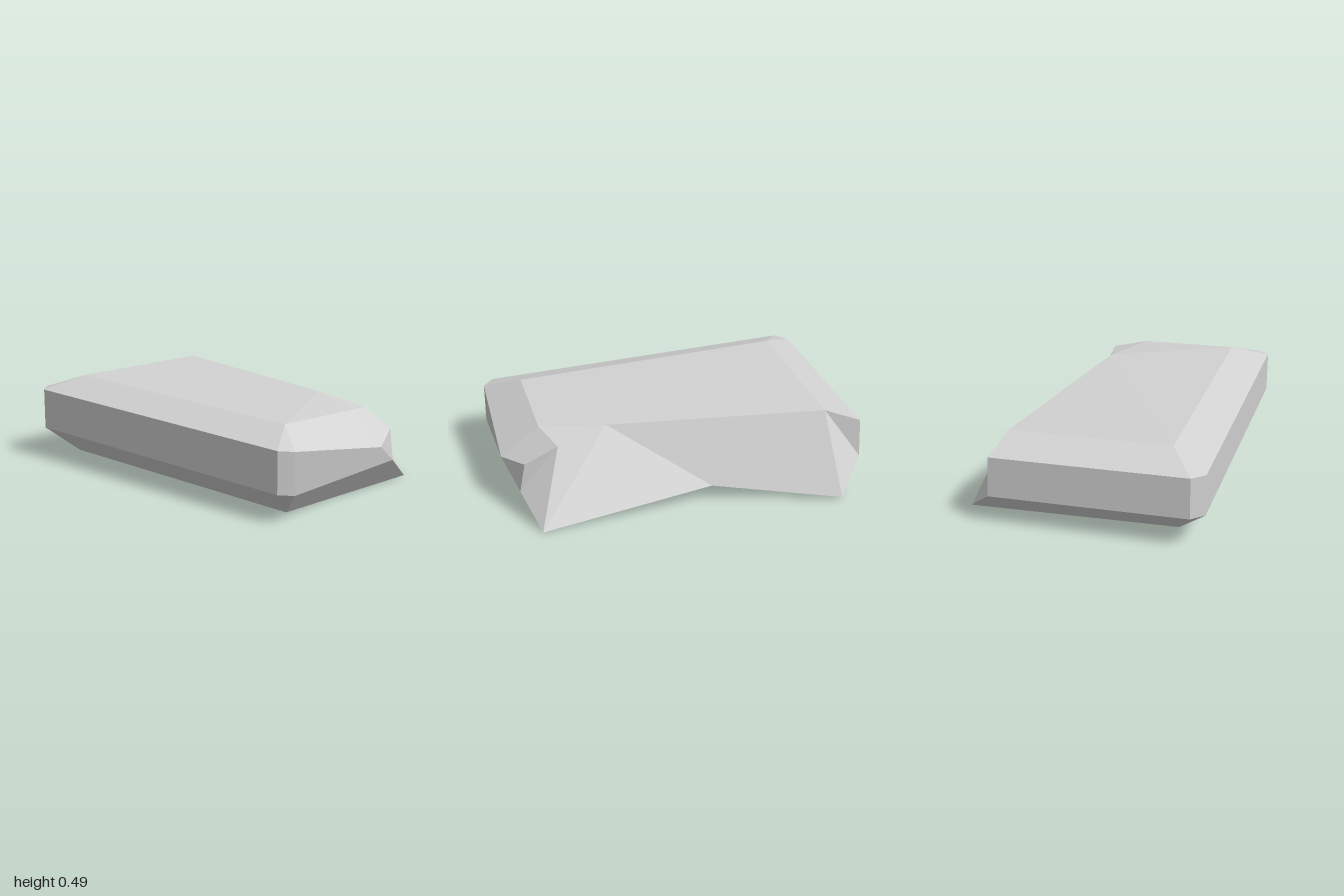
import * as THREE from 'three';

// Corners shared by several columns of the outline
const footFrontLeft = [-0.82, 0.03, 0.47], footFrontRight = [0.79, 0, 0.505];
const footBackRight = [0.88, 0, -0.45], footBackLeft = [-0.8, 0.01, -0.685];
const footNotch = [-0.11, 0.01, -0.25], backNotch = [-0.1, 0.095, -0.45];
const sideLow = [0.945, 0.15, -0.235], backLow = [-0.97, 0.165, -0.53];
const topFrontLeft = [-0.8, 0.485, 0.43], topFrontRight = [0.75, 0.46, 0.475];
const topBackRight = [0.73, 0.41, -0.265], topNotch = [0.44, 0.463, -0.215];
const topBackLeft = [-0.765, 0.465, -0.47];

// Four horizontal cross-sections, each running round from the front -x corner
const foot = [
  footFrontLeft, footFrontLeft, footFrontRight, footFrontRight, footBackRight, footBackRight, footBackRight,
  footBackRight, footBackRight, footNotch, footBackLeft, footBackLeft, footBackLeft,
];
const lowerBelt = [
  [-1, 0.18, 0.56], [-0.94, 0.18, 0.63], [0.875, 0.155, 0.685], [0.94, 0.15, 0.625], sideLow, sideLow, sideLow,
  footBackRight, footBackRight, backNotch, footBackLeft, backLow, backLow,
];
const upperBelt = [
  [-1, 0.41, 0.56], [-0.94, 0.41, 0.63], [0.875, 0.385, 0.685], [0.94, 0.38, 0.625], [1, 0.275, -0.04],
  [0.915, 0.32, -0.245], topBackRight,
  topBackRight, topNotch, topNotch, topBackLeft, topBackLeft, [-0.965, 0.39, -0.52],
];
const crown = [
  topFrontLeft, topFrontLeft, topFrontRight, topFrontRight, [0.785, 0.44, -0.07], topBackRight, topBackRight,
  topBackRight, topNotch, topNotch, topBackLeft, topBackLeft, topBackLeft,
];

// Facets with one normal each; corners that coincide are merged
function facets(polygons) {
  const positions = [], normals = [];
  for (const polygon of polygons) {
    const corners = polygon
      .filter((p, i) => p !== polygon[(i + 1) % polygon.length])
      .map((p) => new THREE.Vector3(...p));
    if (corners.length < 3) continue;
    const normal = new THREE.Vector3();
    const triangles = [];
    for (let i = 1; i < corners.length - 1; i++) {
      const triangle = new THREE.Triangle(corners[0], corners[i], corners[i + 1]);
      normal.addScaledVector(triangle.getNormal(new THREE.Vector3()), triangle.getArea());
      triangles.push(triangle);
    }
    normal.normalize();
    for (const { a, b, c } of triangles) {
      for (const p of [a, b, c]) {
        positions.push(p.x, p.y, p.z);
        normals.push(normal.x, normal.y, normal.z);
      }
    }
  }
  const geometry = new THREE.BufferGeometry();
  geometry.setAttribute('position', new THREE.Float32BufferAttribute(positions, 3));
  geometry.setAttribute('normal', new THREE.Float32BufferAttribute(normals, 3));
  return geometry;
}

// Wall of facets joining two cross-sections
function band(low, high) {
  return facets(low.map((a, i) => {
    const j = (i + 1) % low.length;
    return [a, low[j], high[j], high[i]];
  }));
}

// Closes a cross-section by a fan from its notch corner
function cap(ring, hub, down) {
  return facets(ring.map((a, i) => {
    const b = ring[(i + 1) % ring.length];
    return down ? [hub, b, a] : [hub, a, b];
  }));
}

export function createModel() {
  const group = new THREE.Group();
  group.name = 'rockSlab';
  const stone = new THREE.MeshStandardMaterial({ color: 0xd2d2d2 });
  stone.name = 'paleGreyStone';

  const parts = {
    underside: cap(foot, footNotch, true),
    lowerBevel: band(foot, lowerBelt),
    sides: band(lowerBelt, upperBelt),
    upperBevel: band(upperBelt, crown),
    topFace: cap(crown, topNotch, false),
  };
  for (const [name, geometry] of Object.entries(parts)) {
    const mesh = new THREE.Mesh(geometry, stone);
    mesh.name = name;
    group.add(mesh);
  }
  return group;
}
